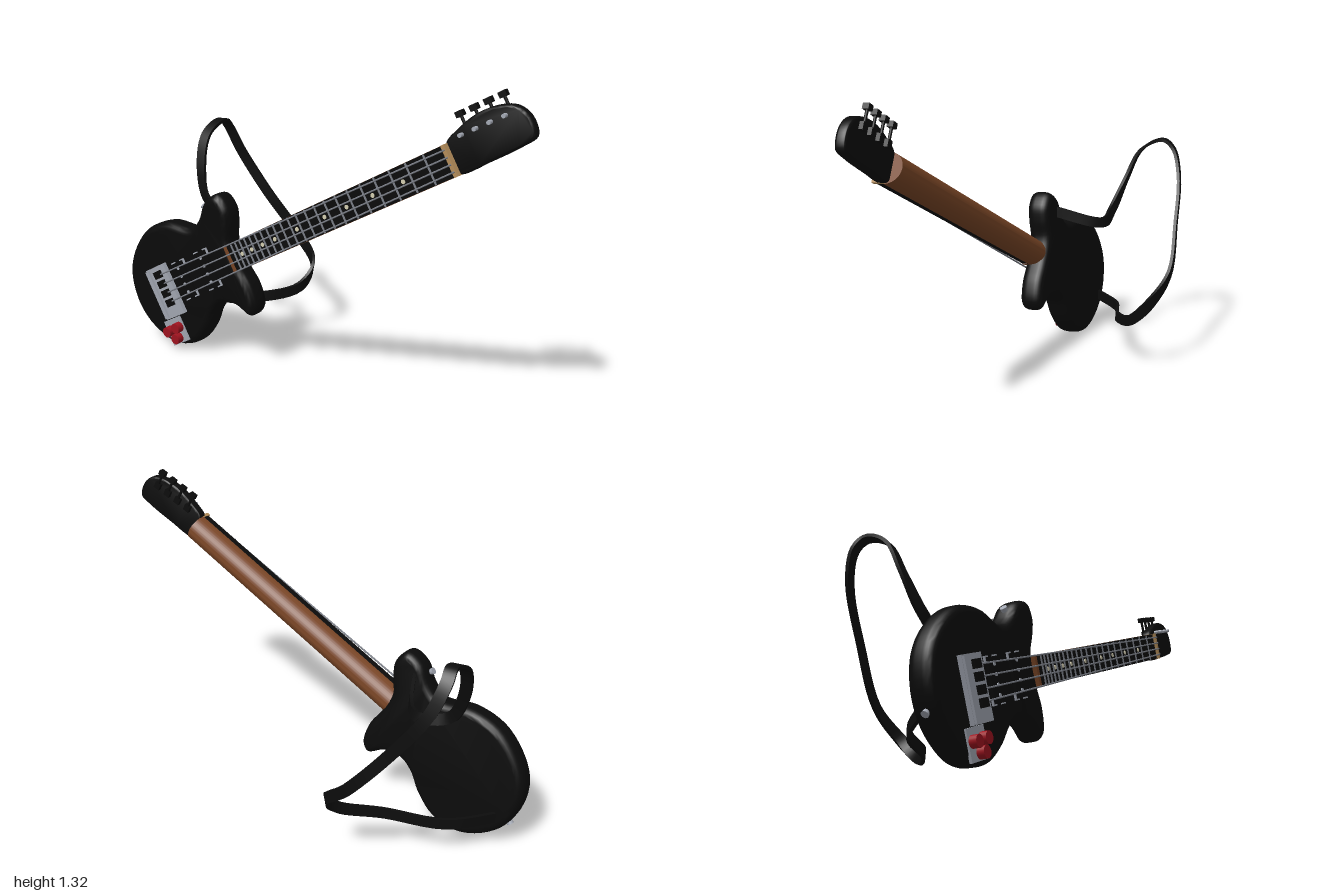
import * as THREE from 'three';
import { toCreasedNormals } from 'three/addons/utils/BufferGeometryUtils.js';

const mat = (name, color, side = THREE.FrontSide) => {
  const m = new THREE.MeshStandardMaterial({ color, side });
  m.name = name;
  return m;
};

export function createModel() {
  const black = mat('black', 0x0b0b0b);
  const wood = mat('wood brown', 0x7a4626);
  const silver = mat('silver', 0xa4a9b4);
  const steel = mat('string steel', 0x7d818a);
  const red = mat('knob red', 0xa01420);
  const tan = mat('nut tan', 0xb8905c);
  const pearl = mat('pearl', 0xd8d2b4);

  const model = new THREE.Group();
  model.name = 'bassGuitar';

  // Instrument frame: X along the neck, Y across it, Z out of the fretboard
  const O = new THREE.Vector3(-0.353, 0.508, 0.205);
  const N = new THREE.Vector3(-0.207, -0.064, 1).normalize();
  const U = new THREE.Vector3(1.059, 0.567, 0.255);
  U.addScaledVector(N, -U.dot(N)).normalize();
  const V = new THREE.Vector3().crossVectors(N, U);
  const guitar = new THREE.Group();
  guitar.name = 'instrument';
  guitar.position.copy(O);
  guitar.quaternion.setFromRotationMatrix(new THREE.Matrix4().makeBasis(U, V, N));
  model.add(guitar);

  const add = (name, geo, material, x = 0, y = 0, z = 0, parent = guitar) => {
    const m = new THREE.Mesh(geo, material);
    m.name = name;
    m.position.set(x, y, z);
    parent.add(m);
    return m;
  };
  const box = (name, w, h, d, material, x, y, z, parent) =>
    add(name, new THREE.BoxGeometry(w, h, d), material, x, y, z, parent);
  const disc = (name, r, h, material, x, y, z, parent) =>
    add(name, new THREE.CylinderGeometry(r, r, h, 20).rotateX(Math.PI / 2), material, x, y, z, parent);

  // Upright x, y position to the instrument frame at depth w
  const plan = ([x, y], w = 0) => {
    const dx = x - O.x - w * N.x, dy = y - O.y - w * N.y;
    const det = U.x * V.y - U.y * V.x;
    return new THREE.Vector3((dx * V.y - dy * V.x) / det, (dy * U.x - dx * U.y) / det, 0);
  };

  // Rounded slab from a closed outline, front face at z = 0
  const slab = (outline, w, thick, bevel, n) => {
    const curve = new THREE.CatmullRomCurve3(outline.map(p => plan(p, w)), true, 'centripetal');
    const pts = curve.getPoints(n).slice(0, -1).map(p => new THREE.Vector2(p.x, p.y));
    const geo = new THREE.ExtrudeGeometry(new THREE.Shape(pts), {
      depth: thick - 2 * bevel, bevelThickness: bevel, bevelSize: bevel * 0.8,
      bevelOffset: -bevel * 0.8, bevelSegments: 6, steps: 1,
    });
    return toCreasedNormals(geo.translate(0, 0, bevel - thick), 0.7);
  };

  // Body with two horns
  const bodyOutline = [
    [-0.375, 0.565], [-0.37, 0.65], [-0.378, 0.72], [-0.433, 0.775], [-0.505, 0.735],
    [-0.545, 0.65], [-0.595, 0.6], [-0.738, 0.603], [-0.87, 0.55], [-0.965, 0.43],
    [-0.997, 0.315], [-0.968, 0.18], [-0.885, 0.075], [-0.738, 0.012], [-0.604, 0.048],
    [-0.525, 0.14], [-0.485, 0.225], [-0.435, 0.275], [-0.353, 0.282], [-0.275, 0.248],
    [-0.246, 0.29], [-0.27, 0.385], [-0.325, 0.465]];
  add('body', slab(bodyOutline, -0.05, 0.108, 0.04, 110), black, 0, 0, -0.008);

  // Neck with a half-round back, fretboard and nut
  const nutU = 1.215;
  const half = new THREE.Shape();
  half.moveTo(0.062, -0.033);
  half.absellipse(0, -0.033, 0.062, 0.07, 0, Math.PI, true);
  half.closePath();
  const neckGeo = new THREE.ExtrudeGeometry(half, { depth: nutU + 0.015, bevelEnabled: false, curveSegments: 24 });
  neckGeo.applyMatrix4(new THREE.Matrix4().makeBasis(
    new THREE.Vector3(0, 1, 0), new THREE.Vector3(0, 0, 1), new THREE.Vector3(1, 0, 0)));
  add('neck', toCreasedNormals(neckGeo, 0.6), wood, -0.015);
  box('neckEnd', 0.018, 0.124, 0.04, wood, -0.01, 0, -0.018);
  box('fretboard', nutU, 0.121, 0.034, black, nutU / 2, 0, -0.017);
  box('nut', 0.016, 0.124, 0.05, tan, nutU + 0.004, 0, -0.013);

  // Frets shrink in spacing toward the body
  const scale = 1.645;
  const fretU = n => nutU - scale * (1 - Math.pow(2, -n / 12));
  for (let n = 1; n <= 22; n++) box('fret', 0.006, 0.119, 0.006, steel, fretU(n), 0, 0.002);
  for (const n of [3, 5, 7, 9, 12, 15, 17, 19, 21])
    disc('inlayDot', 0.009, 0.004, pearl, (fretU(n) + fretU(n - 1)) / 2, 0, 0.001);

  // Strings spread from nut to bridge
  for (let i = 0; i < 4; i++) {
    const k = i - 1.5;
    const path = new THREE.LineCurve3(
      new THREE.Vector3(-0.45, k * 0.044, 0.022), new THREE.Vector3(nutU + 0.01, k * 0.028, 0.014));
    add('string', new THREE.TubeGeometry(path, 1, 0.0038, 6), steel);
  }

  // Bridge plate with saddles
  const bridge = plan([-0.76, 0.273]);
  box('bridgePlate', 0.13, 0.246, 0.022, silver, bridge.x, bridge.y, 0);
  box('bridgeTail', 0.022, 0.235, 0.034, silver, bridge.x - 0.052, bridge.y, 0.004);
  for (let i = 0; i < 4; i++)
    box('saddle', 0.042, 0.034, 0.02, black, bridge.x + 0.012, (i - 1.5) * 0.046, 0.016);

  // Pickups with corner brackets
  for (const u of [-0.17, -0.335]) {
    box('pickup', 0.075, 0.17, 0.02, black, u, 0, -0.004);
    for (const sx of [-1, 1]) for (const sy of [-1, 1]) {
      box('pickupBracket', 0.024, 0.006, 0.008, silver, u + sx * 0.031, sy * 0.088, -0.004);
      box('pickupBracket', 0.006, 0.024, 0.008, silver, u + sx * 0.041, sy * 0.077, -0.004);
    }
    for (let i = 0; i < 4; i++) disc('polePiece', 0.007, 0.006, silver, u, (i - 1.5) * 0.038, 0.007);
  }

  // Control plate with three knobs
  const panel = plan([-0.717, 0.085]);
  box('controlPlate', 0.115, 0.12, 0.012, silver, panel.x, panel.y, -0.006);
  for (const p of [[-0.75, 0.08], [-0.695, 0.112], [-0.7, 0.058]]) {
    const c = plan(p);
    disc('knob', 0.024, 0.034, red, c.x, c.y, 0.014);
  }

  // Strap buttons
  for (const p of [[-0.93, 0.134], [-0.52, 0.695]]) {
    const c = plan(p, -0.055);
    const b = add('strapButton', new THREE.CylinderGeometry(0.015, 0.009, 0.04, 14), silver, c.x, c.y, -0.055);
    const dir = p[0] < -0.8 ? new THREE.Vector3(-0.87, -0.5, 0) : new THREE.Vector3(-0.5, 0.87, 0);
    b.quaternion.setFromUnitVectors(new THREE.Vector3(0, 1, 0), dir.normalize());
  }

  // Headstock, leaning back from the nut
  const head = new THREE.Group();
  head.name = 'headstock';
  head.position.set(nutU, 0, -0.012);
  head.rotation.y = 0.1;
  guitar.add(head);
  const headOutline = [
    [0.675, 1.125], [0.72, 1.185], [0.786, 1.243], [0.866, 1.278], [0.93, 1.28], [0.979, 1.245],
    [1.0, 1.18], [0.952, 1.14], [0.84, 1.075], [0.74, 1.022], [0.72, 1.03]];
  add('headPlate', slab(headOutline, -0.035, 0.045, 0.012, 60), black, -nutU, 0, 0, head);

  // Tuning machines along the upper edge
  for (let i = 0; i < 4; i++) {
    const c = plan([0.738 + i * 0.052, 1.166 + i * 0.027], -0.035);
    const x = c.x - nutU, y = c.y;
    disc('tuningPost', 0.008, 0.03, silver, x, y, 0.008, head);
    box('tunerGear', 0.03, 0.03, 0.02, black, x, y, -0.052, head);
    add('tunerShaft', new THREE.CylinderGeometry(0.006, 0.006, 0.07, 10), black, x, y + 0.035, -0.055, head);
    box('tuningKey', 0.03, 0.022, 0.026, black, x, y + 0.072, -0.055, head);
  }

  // Strap: a flat band swept along a path, each point with its own width direction
  const stops = [
    [-0.92, 0.16, -0.01, 0, 1, 0], [-0.7, 0.165, -0.17, 0, 1, 0], [-0.45, 0.19, -0.225, 0, 1, 0],
    [-0.29, 0.235, -0.32, 0, 1, 0.3], [-0.265, 0.33, -0.41, 0.4, 0.8, 0.4], [-0.37, 0.44, -0.475, 0.8, 0.5, 0.1],
    [-0.54, 0.64, -0.475, 1, 0.3, 0], [-0.68, 0.84, -0.465, 1, 0, 0], [-0.725, 0.96, -0.43, 1, 0, 0],
    [-0.73, 1.0, -0.38, 1, 0, 0], [-0.755, 0.945, -0.27, 1, 0, 0.1], [-0.745, 0.8, -0.2, 1, 0.1, 0.2],
    [-0.68, 0.655, -0.145, 0.5, 0.8, 0.3], [-0.53, 0.625, -0.125, 0, 1, 0.2], [-0.46, 0.685, 0.1, 0, 1, 0.2]];
  const path = new THREE.CatmullRomCurve3(stops.map(s => new THREE.Vector3(s[0], s[1], s[2])), false, 'centripetal');
  const sides = new THREE.CatmullRomCurve3(stops.map(s => new THREE.Vector3(s[3], s[4], s[5])), false, 'catmullrom');
  const pos = [], idx = [], steps = 84;
  for (let i = 0; i <= steps; i++) {
    const t = i / steps, p = path.getPoint(t), T = path.getTangent(t);
    const S = sides.getPoint(t);
    S.addScaledVector(T, -S.dot(T)).normalize();
    const B = new THREE.Vector3().crossVectors(T, S);
    for (const [a, b] of [[1, 1], [-1, 1], [-1, -1], [1, -1]])
      pos.push(...p.clone().addScaledVector(S, a * 0.024).addScaledVector(B, b * 0.007).toArray());
    if (i < steps) for (let k = 0; k < 4; k++) {
      const a = i * 4 + k, b = i * 4 + (k + 1) % 4;
      idx.push(a, b, a + 4, b, b + 4, a + 4);
    }
  }
  const e = steps * 4;
  idx.push(0, 2, 1, 0, 3, 2, e, e + 1, e + 2, e, e + 2, e + 3);
  const strapGeo = new THREE.BufferGeometry();
  strapGeo.setAttribute('position', new THREE.Float32BufferAttribute(pos, 3));
  strapGeo.setIndex(idx);
  const strapBlack = mat('strap black', 0x0d0d0d, THREE.DoubleSide);
  add('strap', toCreasedNormals(strapGeo, 0.7), strapBlack, 0, 0, 0, model);

  return model;
}
